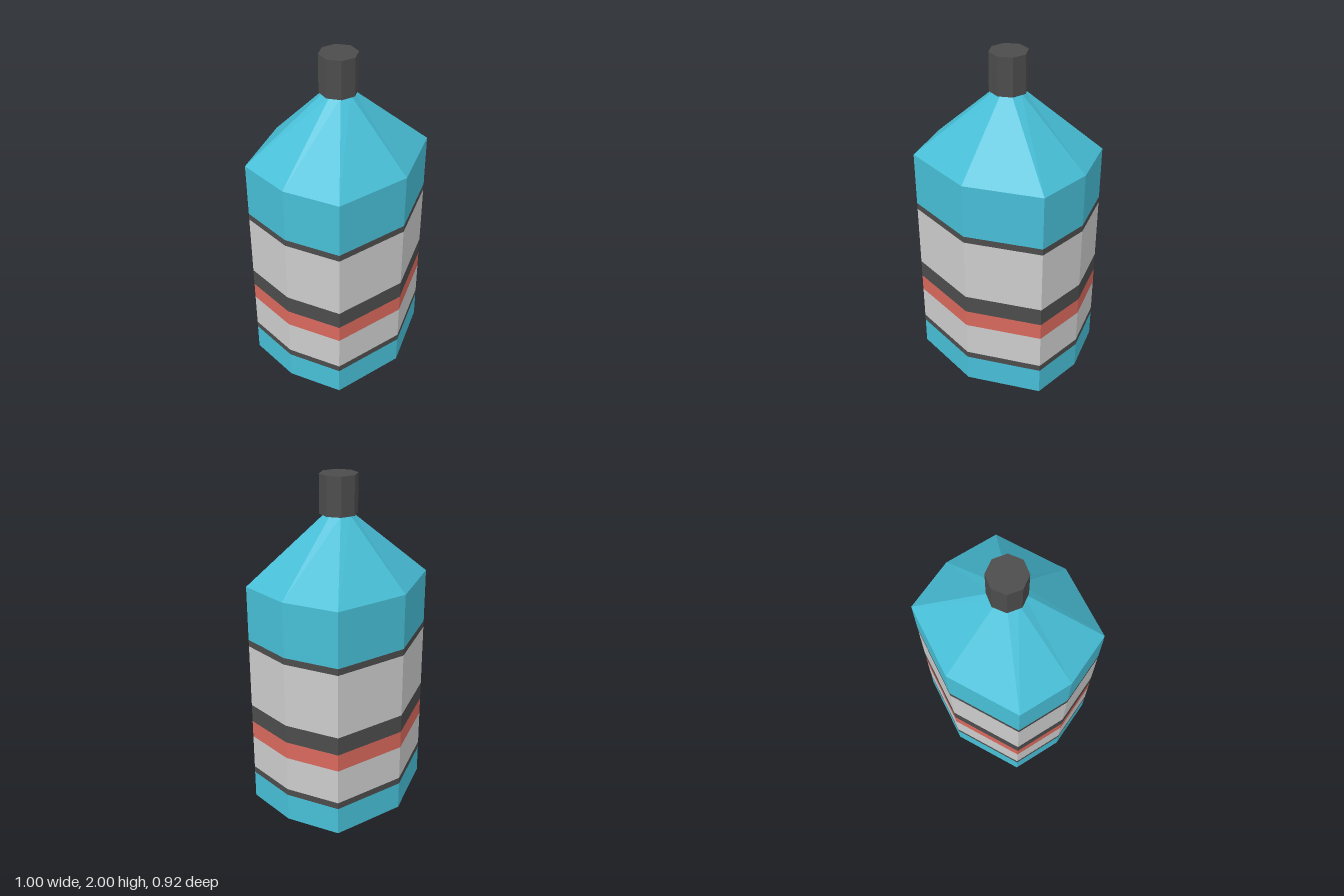
import * as THREE from 'three';

// eight-sided outlines as [x, z], counter-clockwise from the front point
const ring = (x, z, dx, dz) => [[0, z], [dx, dz], [x, 0], [dx, -dz], [0, -z], [-dx, -dz], [-x, 0], [-dx, dz]];
const BODY = ring(0.5, 0.46, 0.433, 0.325);
const NECK = ring(0.08, 0.08, 0.057, 0.057);

const mat = (color) => new THREE.MeshStandardMaterial({ color, flatShading: true });
const blue = mat(0x47bed6), dark = mat(0x4c4c4c), red = mat(0xd8685c), grey = mat(0xcccccc);

// side walls between two outlines, optionally with a floor
function loft(name, material, lower, y0, upper, y1, floor = false) {
  const pos = [];
  for (let i = 0; i < 8; i++) {
    const j = (i + 1) % 8;
    const a = [lower[i][0], y0, lower[i][1]], b = [lower[j][0], y0, lower[j][1]];
    const c = [upper[j][0], y1, upper[j][1]], d = [upper[i][0], y1, upper[i][1]];
    pos.push(...a, ...b, ...c, ...a, ...c, ...d);
    if (floor) pos.push(0, y0, 0, ...b, ...a);
  }
  const geo = new THREE.BufferGeometry();
  geo.setAttribute('position', new THREE.Float32BufferAttribute(pos, 3));
  geo.computeVertexNormals();
  const mesh = new THREE.Mesh(geo, material);
  mesh.name = name;
  return mesh;
}

export function createModel() {
  const group = new THREE.Group();
  group.name = 'bottle';

  // stacked bands of the straight body: name, material, top height
  const bands = [
    ['base', blue, 0.17],
    ['lowerTrim', dark, 0.21],
    ['lowerLabel', grey, 0.425],
    ['redStripe', red, 0.53],
    ['darkStripe', dark, 0.64],
    ['upperLabel', grey, 1.025],
    ['upperTrim', dark, 1.065],
    ['upperBody', blue, 1.39],
  ];
  let y = 0;
  for (const [name, material, top] of bands) {
    group.add(loft(name, material, BODY, y, BODY, top, y === 0));
    y = top;
  }

  // tapering shoulder up to the neck
  group.add(loft('shoulder', blue, BODY, y, NECK, 1.775));

  // octagonal cap
  const cap = new THREE.Mesh(new THREE.CylinderGeometry(0.11, 0.11, 0.225, 8), dark);
  cap.position.y = 1.8875;
  cap.name = 'cap';
  group.add(cap);

  return group;
}
